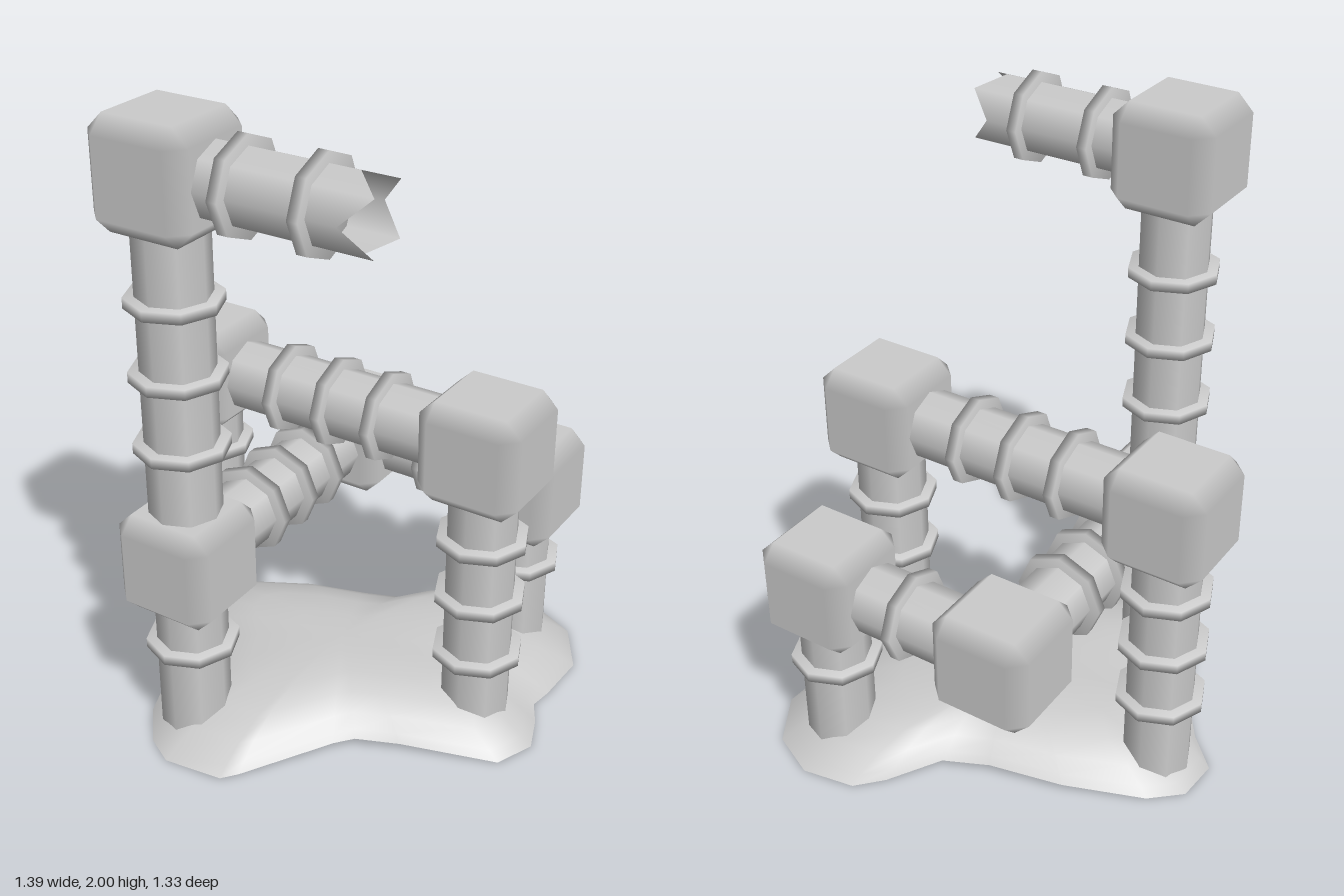
import * as THREE from 'three';
import { mergeVertices } from 'three/addons/utils/BufferGeometryUtils.js';
import { ConvexGeometry } from 'three/addons/geometries/ConvexGeometry.js';

const grey = new THREE.MeshStandardMaterial({ color: 0xcccccc });
const greyThin = new THREE.MeshStandardMaterial({ color: 0xcccccc, side: THREE.DoubleSide });

const PIPE_R = 0.11, RING_R = 0.142, RING_H = 0.032, CUBE = 0.325, BEVEL = 0.05;

function part(name, geometry, material = grey) {
  const mesh = new THREE.Mesh(geometry, material);
  mesh.name = name;
  return mesh;
}

// Turn a geometry built along y so that it runs along the given axis
function alongAxis(geometry, axis) {
  if (axis === 'x') geometry.rotateZ(-Math.PI / 2);
  if (axis === 'z') geometry.rotateX(Math.PI / 2);
  return geometry;
}

// Octagonal collar with softened normals
function ringGeometry() {
  const g = new THREE.CylinderGeometry(RING_R, RING_R, RING_H, 8);
  g.deleteAttribute('uv');
  g.deleteAttribute('normal');
  const soft = mergeVertices(g);
  soft.computeVertexNormals();
  return soft;
}

// Pipe through point `at`, running from..to along an axis, with collars
function pipe(name, axis, at, from, to, rings, broken = false) {
  const group = new THREE.Group();
  group.name = name;
  const tube = new THREE.CylinderGeometry(PIPE_R, PIPE_R, to - from, 8, 1, true);
  if (broken) {
    // Jagged end: every second corner sticks out
    const p = tube.attributes.position;
    for (let i = 0; i < p.count; i++) {
      if (p.getY(i) < 0) continue;
      const tip = Math.abs(p.getX(i) * p.getZ(i)) > 0.001;
      if (!tip) p.setY(i, p.getY(i) - 0.085);
      else if (p.getZ(i) < 0) p.setY(i, p.getY(i) - 0.02);
    }
  }
  const body = part('pipe', alongAxis(tube, axis), greyThin);
  body.position.set(...at);
  body.position[axis] = (from + to) / 2;
  group.add(body);
  for (const r of rings) {
    const ring = part('collar', alongAxis(ringGeometry(), axis));
    ring.position.set(...at);
    ring.position[axis] = r;
    group.add(ring);
  }
  return group;
}

// Chamfered cube; normals follow the flat sides so the bevels look soft
function jointGeometry() {
  const h = CUBE / 2, k = h - BEVEL, points = [];
  for (const sx of [-1, 1]) for (const sy of [-1, 1]) for (const sz of [-1, 1]) {
    points.push(
      new THREE.Vector3(sx * h, sy * k, sz * k),
      new THREE.Vector3(sx * k, sy * h, sz * k),
      new THREE.Vector3(sx * k, sy * k, sz * h));
  }
  const g = new ConvexGeometry(points);
  const p = g.attributes.position, n = g.attributes.normal;
  const side = (v) => (Math.abs(v) > h - 0.01 ? Math.sign(v) : 0);
  for (let i = 0; i < p.count; i++) {
    n.setXYZ(i, side(p.getX(i)), side(p.getY(i)), side(p.getZ(i)));
  }
  return g;
}

// Thin domed patch of ground, rings of the outline shrunk towards the middle
function groundGeometry() {
  const outline = [
    [0.38, -0.67], [0.21, -0.64], [0.13, -0.57], [0.02, -0.42], [-0.12, -0.36], [-0.35, -0.3],
    [-0.59, -0.19], [-0.68, -0.1], [-0.69, 0.04], [-0.59, 0.135], [-0.48, 0.29], [-0.4, 0.5],
    [-0.31, 0.61], [-0.22, 0.66], [-0.03, 0.64], [0.01, 0.6], [0.19, 0.35], [0.235, 0.3],
    [0.36, 0.24], [0.64, 0.125], [0.69, 0], [0.65, -0.11], [0.61, -0.18], [0.62, -0.26],
    [0.627, -0.44], [0.53, -0.6],
  ];
  const scales = [1, 0.95, 0.85, 0.7, 0.5, 0.25];
  const n = outline.length, pos = [], index = [];
  scales.forEach((s, j) => {
    outline.forEach(([x, z], i) => {
      const rim = 0.005 + 0.12 * Math.max(0, 0.68 - Math.hypot(x, z));
      pos.push(x * s, rim + (0.16 - rim) * (1 - s ** 4), z * s);
      if (j === 0) return;
      const a = (j - 1) * n + i, b = (j - 1) * n + (i + 1) % n;
      index.push(a, b, b + n, a, b + n, a + n);
    });
  });
  const centre = pos.length / 3, last = centre - n;
  pos.push(0, 0.16, 0);
  for (let i = 0; i < n; i++) index.push(last + i, last + (i + 1) % n, centre);
  const g = new THREE.BufferGeometry();
  g.setAttribute('position', new THREE.Float32BufferAttribute(pos, 3));
  g.setIndex(index);
  g.computeVertexNormals();
  return g;
}

export function createModel() {
  const model = new THREE.Group();
  model.name = 'pipeStructure';
  model.add(part('ground', groundGeometry(), greyThin));

  const low = 0.64, mid = 0.995, high = 1.84, foot = 0.04;
  const xa = -0.245, zf = 0.465, zb = -0.465, zm = -0.03, xe = -0.535, xf = 0.472, xd = 0.382;

  // Cube joints
  const joints = {
    towerTopJoint: [xa, high, zf],
    towerLowJoint: [xa, low, zf],
    backRightJoint: [xa, low, zb],
    backLeftJoint: [xd, low, zb],
    bridgeRightJoint: [xe, mid, zm],
    bridgeLeftJoint: [xf, mid, zm],
  };
  for (const [name, at] of Object.entries(joints)) {
    const joint = part(name, jointGeometry());
    joint.position.set(...at);
    model.add(joint);
  }

  // Upright pipes
  model.add(
    pipe('towerPipe', 'y', [xa, 0, zf], foot, high, [0.34, 1.02, 1.245, 1.47]),
    pipe('bridgeRightLeg', 'y', [xe, 0, zm], foot, mid, [0.31, 0.515, 0.715]),
    pipe('bridgeLeftLeg', 'y', [xf, 0, zm], foot, mid, [0.28, 0.485, 0.685]),
    pipe('backLeftLeg', 'y', [xd, 0, zb], foot, low, [0.347]));

  // Level pipes
  model.add(
    pipe('bridgePipe', 'x', [0, mid, zm], xe, xf, [-0.205, -0.033, 0.14]),
    pipe('backPipe', 'x', [0, low, zb], xa, xd, [0.07]),
    pipe('sidePipe', 'z', [xa, low, 0], zb, zf, [-0.15, 0, 0.153]),
    pipe('brokenPipe', 'x', [0, high, zf], xa, 0.435, [0.003, 0.243], true));

  return model;
}
